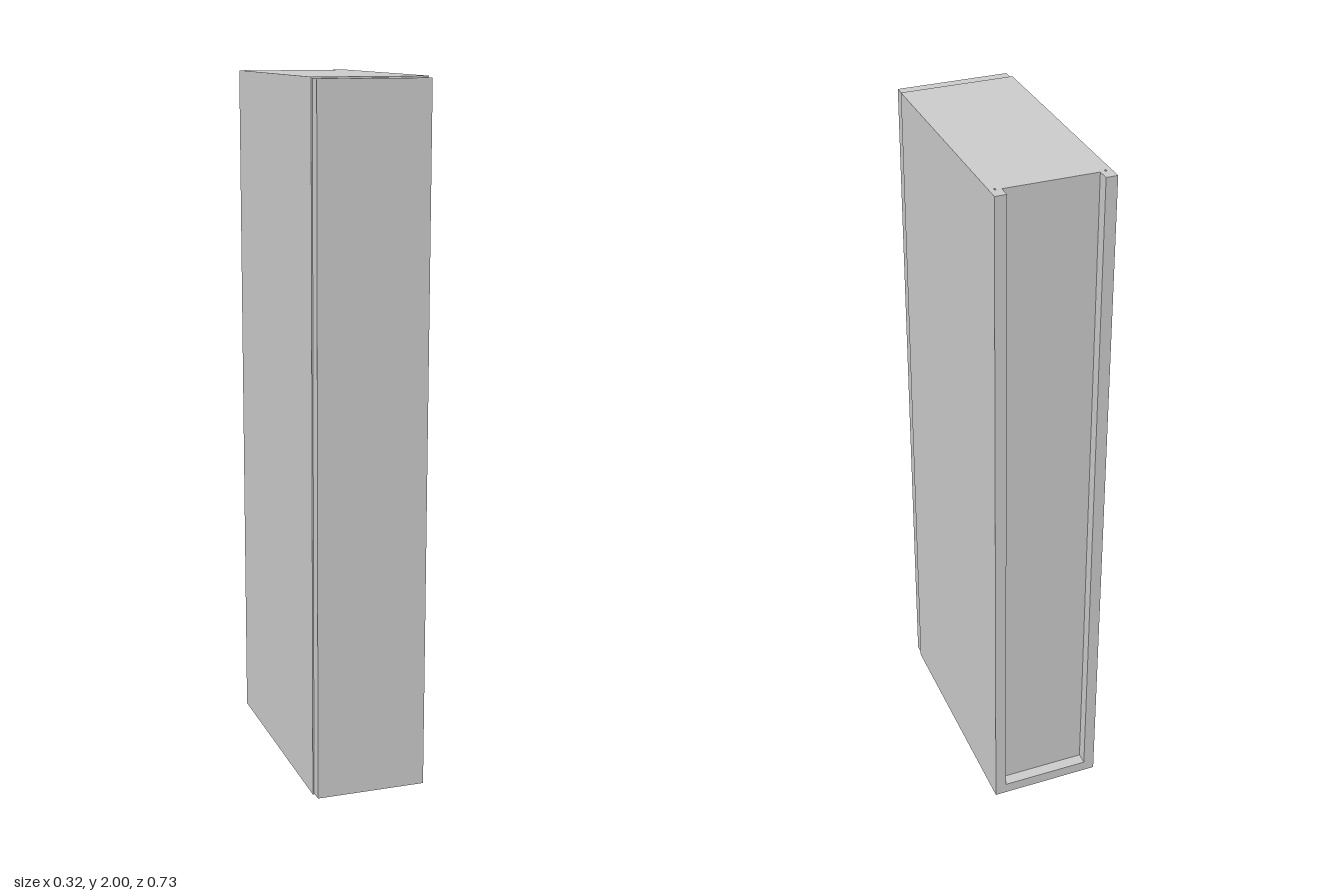
import * as THREE from 'three';

const W = 0.1625, T = 0.0325, H = 2;      // half width, board thickness, height
const BACK = -0.367, FRONT = 0.33;        // carcass depth range
const G0 = -0.333, G1 = -0.325;           // groove for the back panel
const GROOVE = 0.0185;                    // groove depth

export function createModel() {
  const group = new THREE.Group();
  const material = new THREE.MeshStandardMaterial({ color: 0xcccccc });

  const add = (name, geometry) => {
    const mesh = new THREE.Mesh(geometry, material);
    mesh.name = name;
    group.add(mesh);
  };
  // box given by its limits on each axis
  const board = (name, x0, x1, y0, y1, z0, z1) => {
    const g = new THREE.BoxGeometry(x1 - x0, y1 - y0, z1 - z0);
    g.translate((x0 + x1) / 2, (y0 + y1) / 2, (z0 + z1) / 2);
    add(name, g);
  };
  const extrude = (points, depth) => new THREE.ExtrudeGeometry(
    new THREE.Shape(points.map(([a, b]) => new THREE.Vector2(a, b))),
    { depth, bevelEnabled: false });

  // Board outline with a groove: a = depth axis, b = outer to inner face
  const grooved = (outer, inner, cut) => [
    [BACK, outer], [FRONT, outer], [FRONT, inner], [G1, inner],
    [G1, cut], [G0, cut], [G0, inner], [BACK, inner],
  ];

  // Side boards, grooved over their full height
  const inX = W - T;
  for (const [name, s] of [['leftSide', 1], ['rightSide', -1]]) {
    const outline = grooved(s * W, s * inX, s * (inX + GROOVE)).map(([z, x]) => [x, -z]);
    add(name, extrude(outline, H).rotateX(-Math.PI / 2));
  }

  // Bottom board between the sides, with the same groove
  add('bottom', extrude(grooved(0, T, T - GROOVE), 2 * inX)
    .rotateY(-Math.PI / 2).translate(inX, 0, 0));

  // Top board stops at the back panel, which slides in from above
  board('top', -inX, inX, H - T, H, G1, FRONT);
  board('backPanel', -0.144, 0.144, T - GROOVE, H, G0, G1);

  // Door, slightly smaller than the carcass
  board('door', -0.159, 0.159, 0.004, H - 0.004, FRONT, 0.367);

  return group;
}
